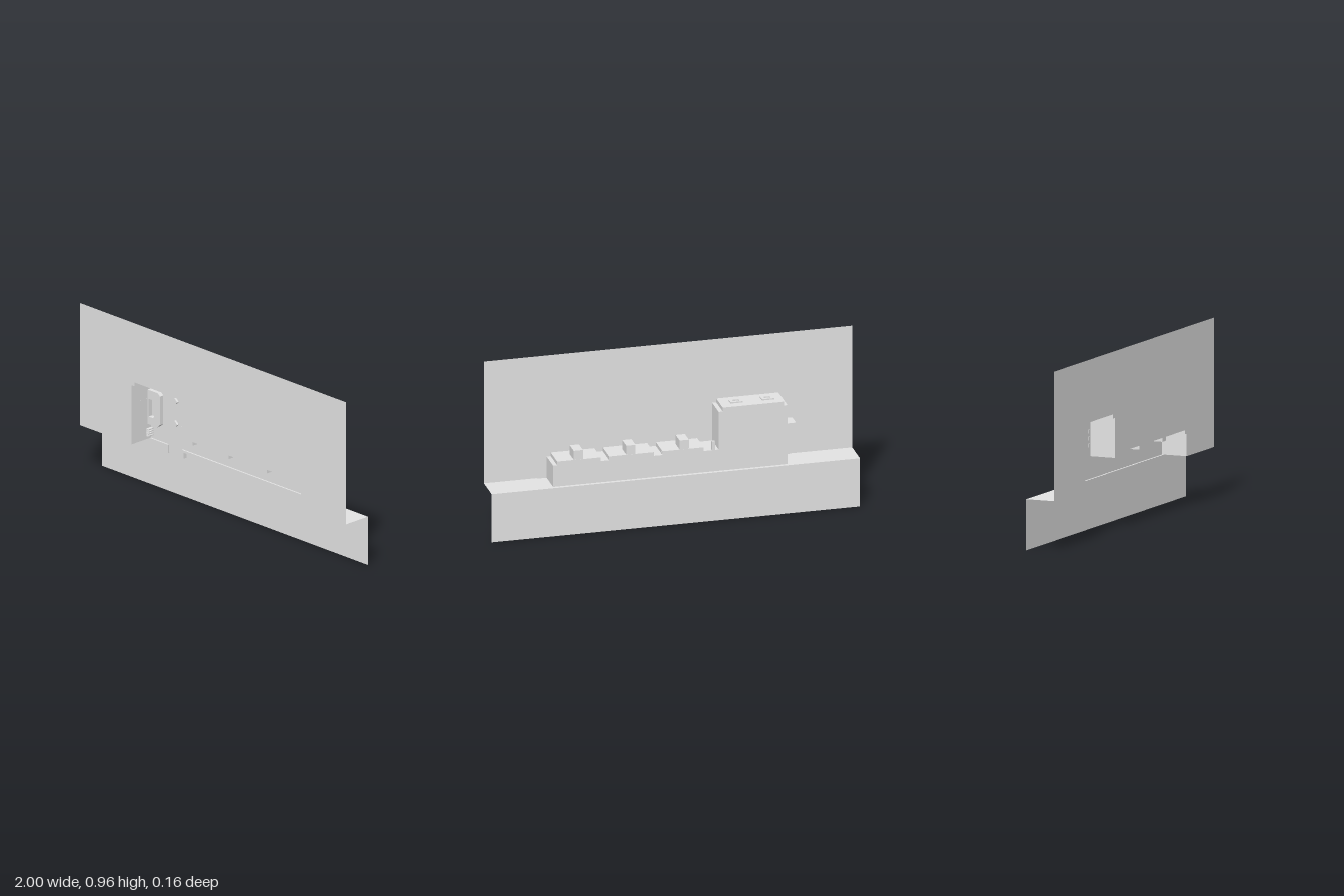
import * as THREE from 'three';

const FRONT = 0.08, BACK = -0.062, SHELF = 0.272;

export function createModel() {
  const group = new THREE.Group();
  const grey = new THREE.MeshStandardMaterial({ color: 0xe4e4e4, side: THREE.DoubleSide });
  grey.name = 'lightGrey';

  const add = (name, geometry, x = 0, y = 0, z = 0) => {
    const mesh = new THREE.Mesh(geometry, grey);
    mesh.name = name;
    mesh.position.set(x, y, z);
    group.add(mesh);
    return mesh;
  };
  // box given by its limits on each axis
  const box = (name, x0, x1, y0, y1, z0, z1) =>
    add(name, new THREE.BoxGeometry(x1 - x0, y1 - y0, z1 - z0),
      (x0 + x1) / 2, (y0 + y1) / 2, (z0 + z1) / 2);
  const toVectors = points => points.map(p => new THREE.Vector2(p[0], p[1]));
  const sheet = (name, points, y, z) =>
    add(name, new THREE.ShapeGeometry(new THREE.Shape(toVectors(points))), 0, y, z);

  // stepped outline of the recess, from lower left to lower right
  const outline = [
    [-0.613, SHELF], [-0.613, 0.605], [-0.593, 0.605], [-0.593, 0.627],
    [-0.258, 0.627], [-0.258, 0.605], [-0.236, 0.605], [-0.236, 0.392],
    [-0.155, 0.392], [-0.155, 0.413], [0.068, 0.413], [0.068, 0.392],
    [0.115, 0.392], [0.115, 0.413], [0.358, 0.413], [0.358, 0.392],
    [0.404, 0.392], [0.404, 0.413], [0.64, 0.413], [0.64, 0.392],
    [0.662, 0.392], [0.662, SHELF],
  ];

  // Z-shaped main sheet; the recess opens through the upper wall and the shelf
  sheet('upperWall', [[-1, SHELF], ...outline, [1, SHELF], [1, 0.96], [-1, 0.96]], 0, FRONT);
  sheet('lowerWall', [[-1, 0], [1, 0], [1, SHELF], [-1, SHELF]], 0, -FRONT);
  const shelf = sheet('shelf', [
    [-1, -FRONT], [-0.613, -FRONT], [-0.613, -BACK], [0.662, -BACK],
    [0.662, -FRONT], [1, -FRONT], [1, FRONT], [-1, FRONT],
  ], SHELF, 0);
  shelf.rotation.x = -Math.PI / 2;

  // flange behind the wall
  sheet('flange', [
    [-0.66, SHELF], ...outline, [0.715, SHELF], [0.715, 0.455],
    [-0.178, 0.455], [-0.178, 0.67], [-0.66, 0.67],
  ], 0, 0.072);

  // recess back panel with its dropped tab, and the stepped rim joining it to the wall
  sheet('backPanel', [
    ...outline, [-0.375, SHELF], [-0.375, 0.228], [-0.477, 0.228], [-0.477, SHELF],
  ], 0, BACK);
  const rim = [];
  for (let i = 0; i < outline.length - 1; i++) {
    const [ax, ay] = outline[i], [bx, by] = outline[i + 1];
    rim.push(ax, ay, BACK, bx, by, BACK, bx, by, FRONT, ax, ay, BACK, bx, by, FRONT, ax, ay, FRONT);
  }
  const rimGeometry = new THREE.BufferGeometry();
  rimGeometry.setAttribute('position', new THREE.Float32BufferAttribute(rim, 3));
  rimGeometry.computeVertexNormals();
  add('recessRim', rimGeometry);

  // pockets standing on the low section, and a small tab beside the tall one
  for (const x of [-0.05, 0.238, 0.525]) {
    box('topPocket', x - 0.025, x + 0.025, 0.41, 0.464, BACK + 0.001, 0.022);
  }
  box('stepTab', -0.216, -0.2, 0.39, 0.44, BACK + 0.001, -0.047);

  // shallow raised frames on the tall section
  for (const x of [-0.345, -0.515]) {
    for (const s of [-1, 1]) {
      box('topFrameSide', x + s * 0.025 - 0.008, x + s * 0.025 + 0.008, 0.625, 0.634, -0.017, 0.025);
      box('topFrameEnd', x - 0.02, x + 0.02, 0.625, 0.634, 0.004 + s * 0.016 - 0.005, 0.004 + s * 0.016 + 0.005);
    }
  }

  // side pocket and the chamfered housing in the recess
  box('sidePocket', -0.66, -0.612, 0.4, 0.5, -0.058, 0.02);
  const housing = new THREE.Shape(toVectors([
    [-0.612, 0.55], [-0.535, 0.55], [-0.52, 0.535], [-0.52, 0.375], [-0.54, 0.357], [-0.612, 0.357],
  ]));
  housing.holes.push(new THREE.Path(toVectors([
    [-0.605, 0.5], [-0.57, 0.5], [-0.56, 0.48], [-0.56, 0.42], [-0.57, 0.4], [-0.605, 0.4],
  ])));
  add('sideHousing', new THREE.ExtrudeGeometry(housing, { depth: 0.025, bevelEnabled: false }), 0, 0, BACK + 0.001);
  for (let i = 0; i < 4; i++) {
    box('springCoil', -0.612, -0.594, 0.29 + i * 0.012, 0.297 + i * 0.012, BACK + 0.001, -0.025);
  }

  // round bosses, each with a pair of diagonal clips above it
  for (const y of [0.505, 0.378]) {
    const boss = add('roundBoss', new THREE.CylinderGeometry(0.024, 0.024, 0.005, 24), -0.38, y, BACK + 0.003);
    boss.rotation.x = Math.PI / 2;
    for (const s of [-1, 1]) {
      const clip = add('bossClip', new THREE.BoxGeometry(0.028, 0.018, 0.012), -0.382 + s * 0.038, y + 0.029, BACK + 0.007);
      clip.rotation.z = s * 0.75;
    }
  }
  for (const y of [0.528, 0.49, 0.453]) {
    box('squarePad', -0.268, -0.246, y - 0.01, y + 0.01, BACK + 0.001, BACK + 0.004);
  }

  // hooked latches below the rim
  for (const [x, y] of [[-0.57, 0.612], [-0.285, 0.612], [0.05, 0.4], [0.33, 0.4], [0.617, 0.4]]) {
    box('latchArm', x - 0.02, x + 0.02, y - 0.004, y + 0.005, BACK + 0.001, -0.035);
    box('latchHook', x - 0.008, x + 0.008, y - 0.015, y + 0.005, BACK + 0.001, -0.04);
  }

  // lip under the shelf, turning down on both sides of the tab
  box('lipLeft', -0.66, -0.477, 0.258, 0.271, -0.077, -0.055);
  box('lipRight', -0.375, 0.715, 0.258, 0.271, -0.077, -0.055);
  for (const x of [-0.49, -0.375]) {
    box('lipLeg', x, x + 0.013, 0.224, 0.258, -0.077, -0.055);
  }

  return group;
}
